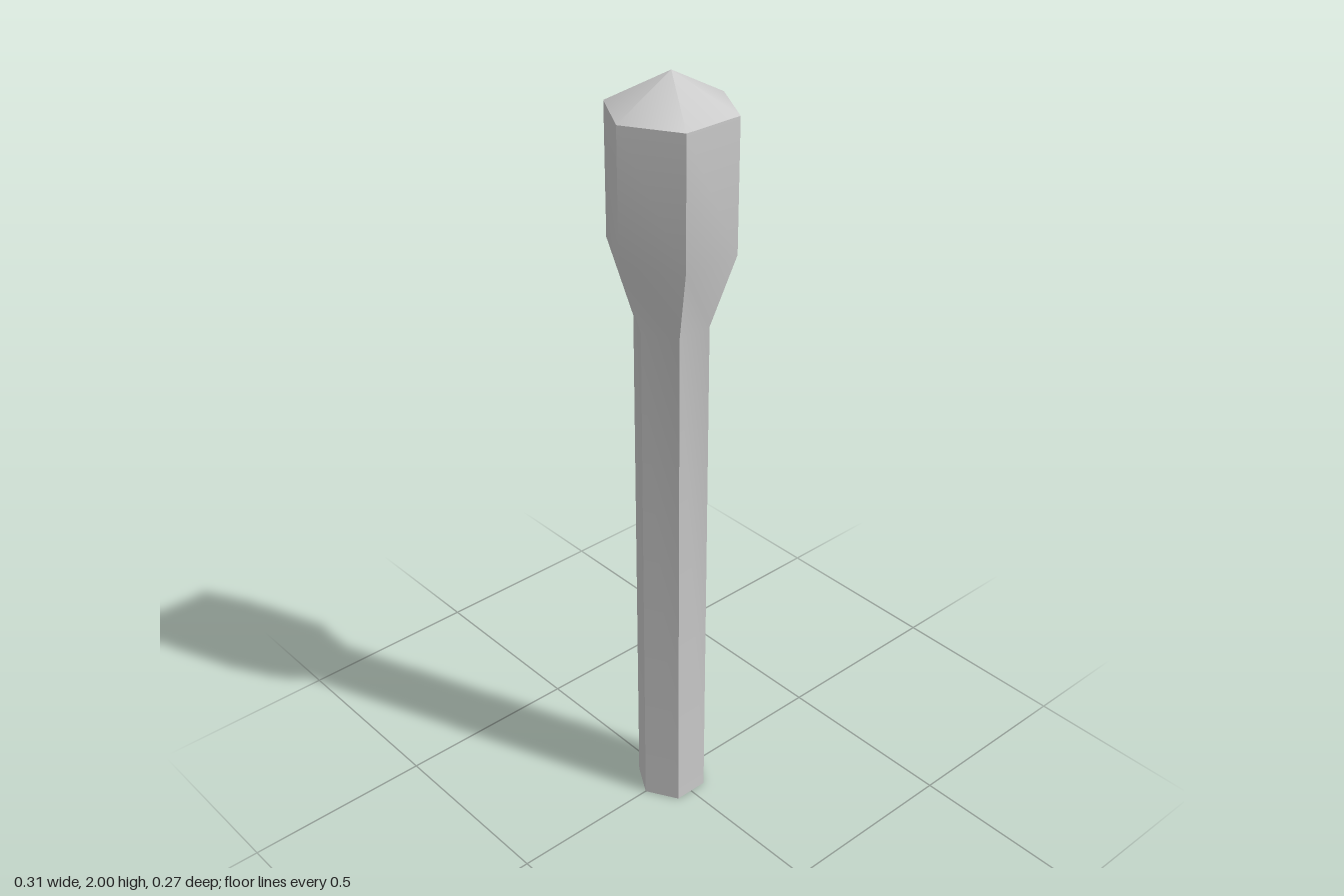
import * as THREE from 'three';
import { toCreasedNormals } from 'three/addons/utils/BufferGeometryUtils.js';

const SIDES = 6;
const SHAFT_R = 0.093, HEAD_R = 0.156;
const SHAFT_TOP = 1.4, HEAD_BOTTOM = 1.59, HEAD_TOP = 1.915, TIP = 2;
const CREASE = 0.6; // hexagon edges stay sharp, the flare and cap stay soft

export function createModel() {
  const group = new THREE.Group();
  group.name = 'hexagonalPost';
  const material = new THREE.MeshStandardMaterial({ color: 0xcccccc });

  const add = (name, geometry) => {
    const mesh = new THREE.Mesh(toCreasedNormals(geometry, CREASE), material);
    mesh.name = name;
    group.add(mesh);
  };

  // Shaft flaring into the wider head, with corners on the x axis
  const profile = [
    [SHAFT_R, 0],
    [SHAFT_R, SHAFT_TOP],
    [HEAD_R, HEAD_BOTTOM],
    [HEAD_R, HEAD_TOP],
  ].map(([r, y]) => new THREE.Vector2(r, y));
  add('shaftAndHead', new THREE.LatheGeometry(profile, SIDES, Math.PI / 2));

  // Shallow pointed cap
  const capHeight = TIP - HEAD_TOP;
  const cap = new THREE.ConeGeometry(HEAD_R, capHeight, SIDES, 1, true, Math.PI / 2);
  cap.translate(0, HEAD_TOP + capHeight / 2, 0);
  add('pointedCap', cap);

  // Flat underside
  add('base', new THREE.CircleGeometry(SHAFT_R, SIDES).rotateX(Math.PI / 2));

  return group;
}
